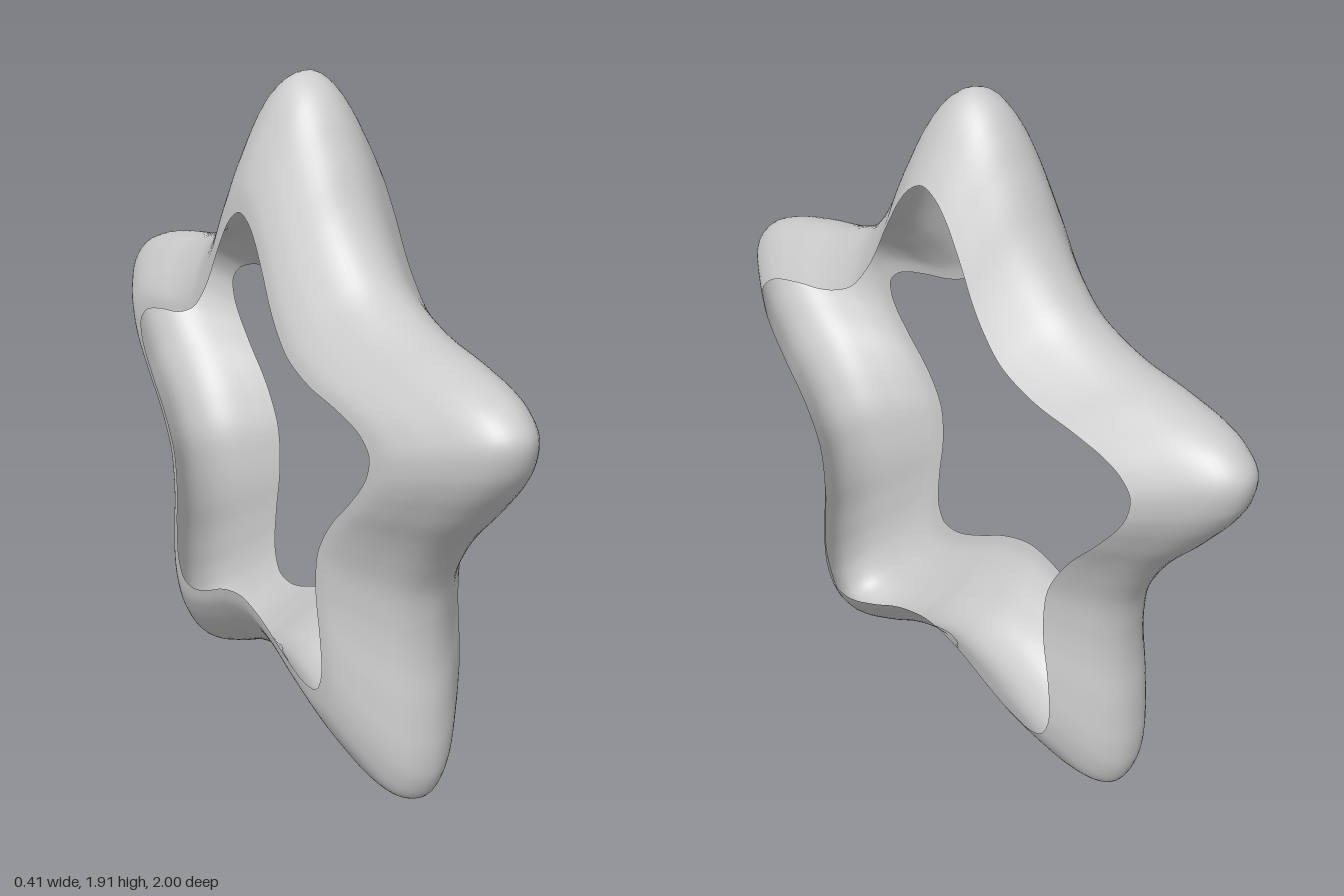
import * as THREE from 'three';

// Star outline in the y-z plane: [degrees from arm tip, radius], tip to valley
const ARM = [[0, 1.05], [4, 1.02], [7.5, 0.965], [11, 0.9], [14, 0.85], [20, 0.765], [27, 0.71], [36, 0.683]];
// Cross-section of the shell: [x, outline scale], from the deep rim to the shallow rim
const SECTION = [[-0.2, 0.655], [-0.19, 0.72], [-0.165, 0.79], [-0.137, 0.85], [-0.09, 0.935], [-0.045, 0.983],
  [0.01, 1], [0.055, 0.985], [0.1, 0.94], [0.155, 0.85], [0.19, 0.785]];
const CENTRE_Y = 0.86;
const AROUND = 400, ACROSS = 36;

function starOutline() {
  const half = ARM.slice(1, -1);
  const arm = [...half.map(([a, r]) => [-a, r]).reverse(), ...ARM];
  const points = [];
  for (let k = 0; k < 5; k++) {
    for (const [a, r] of arm) {
      const t = THREE.MathUtils.degToRad(a + 72 * k);
      points.push(new THREE.Vector3(0, r * Math.cos(t), r * Math.sin(t)));
    }
  }
  return new THREE.CatmullRomCurve3(points, true).getSpacedPoints(AROUND).slice(0, AROUND);
}

// Open shell: the outline is scaled along the cross-section, slightly wider at the valleys
function starShell() {
  const outline = starOutline();
  const section = new THREE.SplineCurve(SECTION.map(([x, s]) => new THREE.Vector2(x, s))).getSpacedPoints(ACROSS);
  const positions = [], index = [];
  const row = ACROSS + 1;
  outline.forEach((p, i) => {
    const valley = (1.05 - p.length()) / 0.367;
    for (const q of section) {
      positions.push(q.x * (1 + 0.05 * valley), CENTRE_Y + p.y * q.y, p.z * q.y);
    }
    for (let j = 0; j < ACROSS; j++) {
      const a = i * row + j, b = ((i + 1) % AROUND) * row + j;
      index.push(a, b, a + 1, b, b + 1, a + 1);
    }
  });
  const geometry = new THREE.BufferGeometry();
  geometry.setAttribute('position', new THREE.Float32BufferAttribute(positions, 3));
  geometry.setIndex(index);
  geometry.computeBoundingBox();
  geometry.translate(0, -geometry.boundingBox.min.y, 0);
  geometry.computeVertexNormals();
  return geometry;
}

export function createModel() {
  const group = new THREE.Group();
  const material = new THREE.MeshStandardMaterial({ color: 0xcccccc, side: THREE.DoubleSide });
  const shell = new THREE.Mesh(starShell(), material);
  shell.name = 'starShell';
  group.add(shell);
  return group;
}
